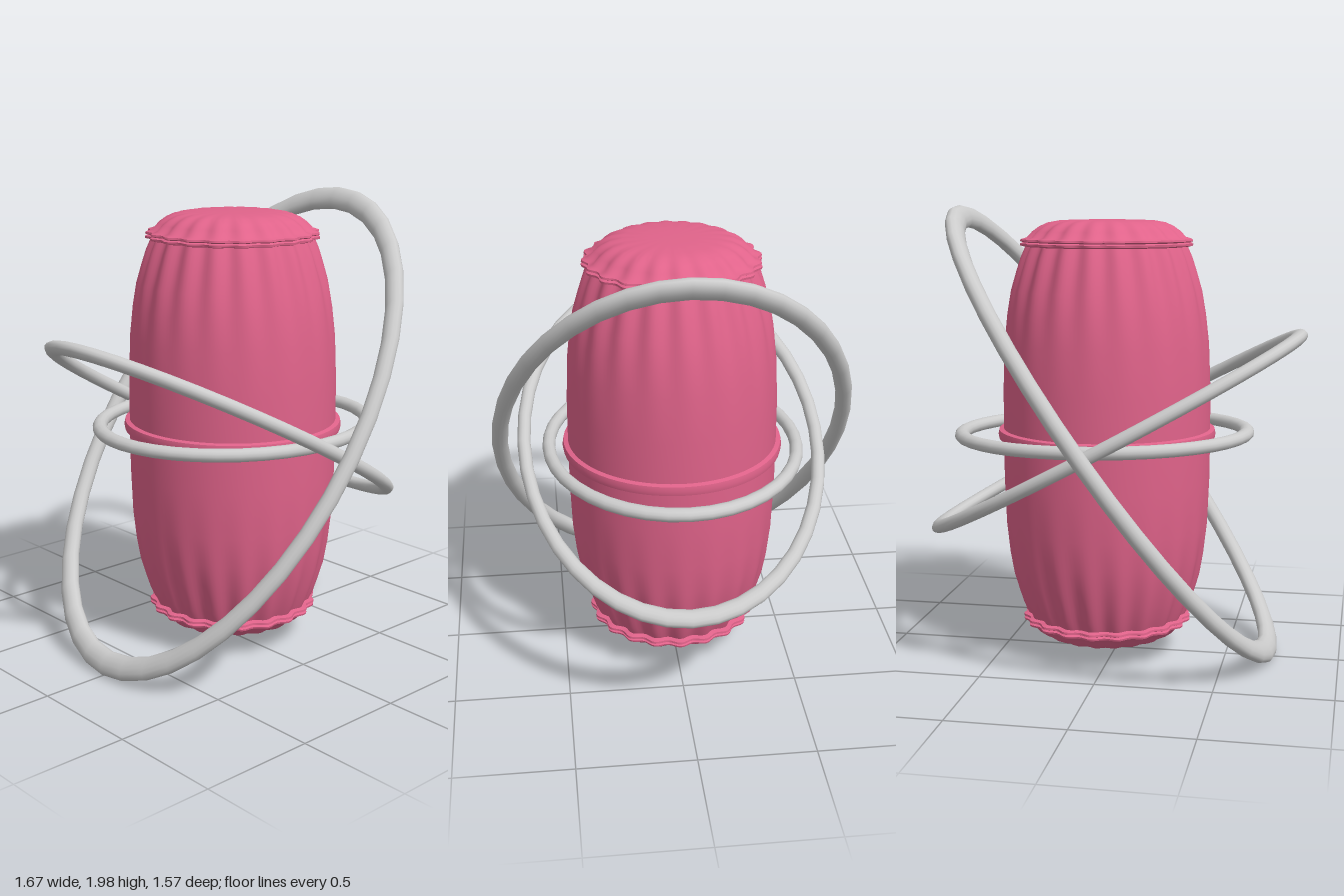
import * as THREE from 'three';
import { toCreasedNormals } from 'three/addons/utils/BufferGeometryUtils.js';

const CENTER_Y = 1;
const BODY_X = 0.04;
const FLUTES = 20;

// Upper half of the barrel profile: [radius, height above the middle]
const HALF_PROFILE = [
  [0.456, 0], [0.455, 0.2], [0.447, 0.4], [0.43, 0.53], [0.41, 0.63],
  [0.385, 0.71], [0.365, 0.77], [0.345, 0.815],
  // double lip of the rim
  [0.366, 0.82], [0.367, 0.829], [0.354, 0.834], [0.366, 0.839], [0.364, 0.847],
  // domed cap
  [0.338, 0.855], [0.315, 0.88], [0.285, 0.902], [0.25, 0.918], [0.2, 0.927], [0.1, 0.93], [0, 0.931],
];

// Lathed barrel whose flutes fade in from the smooth middle towards both ends
function flutedBarrel() {
  const upper = HALF_PROFILE.map(([r, y]) => new THREE.Vector2(r, y));
  const lower = upper.slice(1).reverse().map((p) => new THREE.Vector2(p.x, -p.y));
  const geometry = new THREE.LatheGeometry([...lower, ...upper], FLUTES * 8);
  const pos = geometry.attributes.position;
  for (let i = 0; i < pos.count; i++) {
    const x = pos.getX(i), y = pos.getY(i), z = pos.getZ(i);
    const depth = 0.028 * THREE.MathUtils.smoothstep(Math.abs(y), 0.3, 0.85);
    const k = 1 + depth * Math.cos(FLUTES * Math.atan2(z, x));
    pos.setXYZ(i, x * k, y, z * k);
  }
  return toCreasedNormals(geometry, 0.6);
}

// Level ring stretched along x, then tilted about z
function orbitRing(name, radius, tube, stretch, tilt, x, material) {
  const geometry = new THREE.TorusGeometry(radius, tube, 14, 40);
  geometry.rotateX(Math.PI / 2).scale(stretch, 1, 1);
  const ring = new THREE.Mesh(geometry, material);
  ring.name = name;
  ring.rotation.z = THREE.MathUtils.degToRad(tilt);
  ring.position.set(x, CENTER_Y, 0);
  return ring;
}

export function createModel() {
  const model = new THREE.Group();
  model.name = 'ringedBarrel';
  const pink = new THREE.MeshStandardMaterial({ color: 0xe0638a });
  const grey = new THREE.MeshStandardMaterial({ color: 0xcccccc });

  const barrel = new THREE.Mesh(flutedBarrel(), pink);
  barrel.name = 'barrel';
  barrel.position.set(BODY_X, CENTER_Y, 0);
  model.add(barrel);

  // Raised band around the middle
  const bandProfile = [[0.45, -0.026], [0.476, -0.02], [0.48, 0], [0.476, 0.02], [0.45, 0.026]];
  const bandGeometry = new THREE.LatheGeometry(bandProfile.map(([r, y]) => new THREE.Vector2(r, y)), 64);
  const band = new THREE.Mesh(toCreasedNormals(bandGeometry, 0.6), pink);
  band.name = 'middleBand';
  band.position.copy(barrel.position);
  model.add(band);

  model.add(
    orbitRing('largeRing', 0.752, 0.035, 1.55, 54, 0, grey),
    orbitRing('mediumRing', 0.648, 0.029, 1.4, -28.7, 0, grey),
    orbitRing('smallRing', 0.541, 0.028, 1.17, -1, 0.055, grey),
  );
  return model;
}
